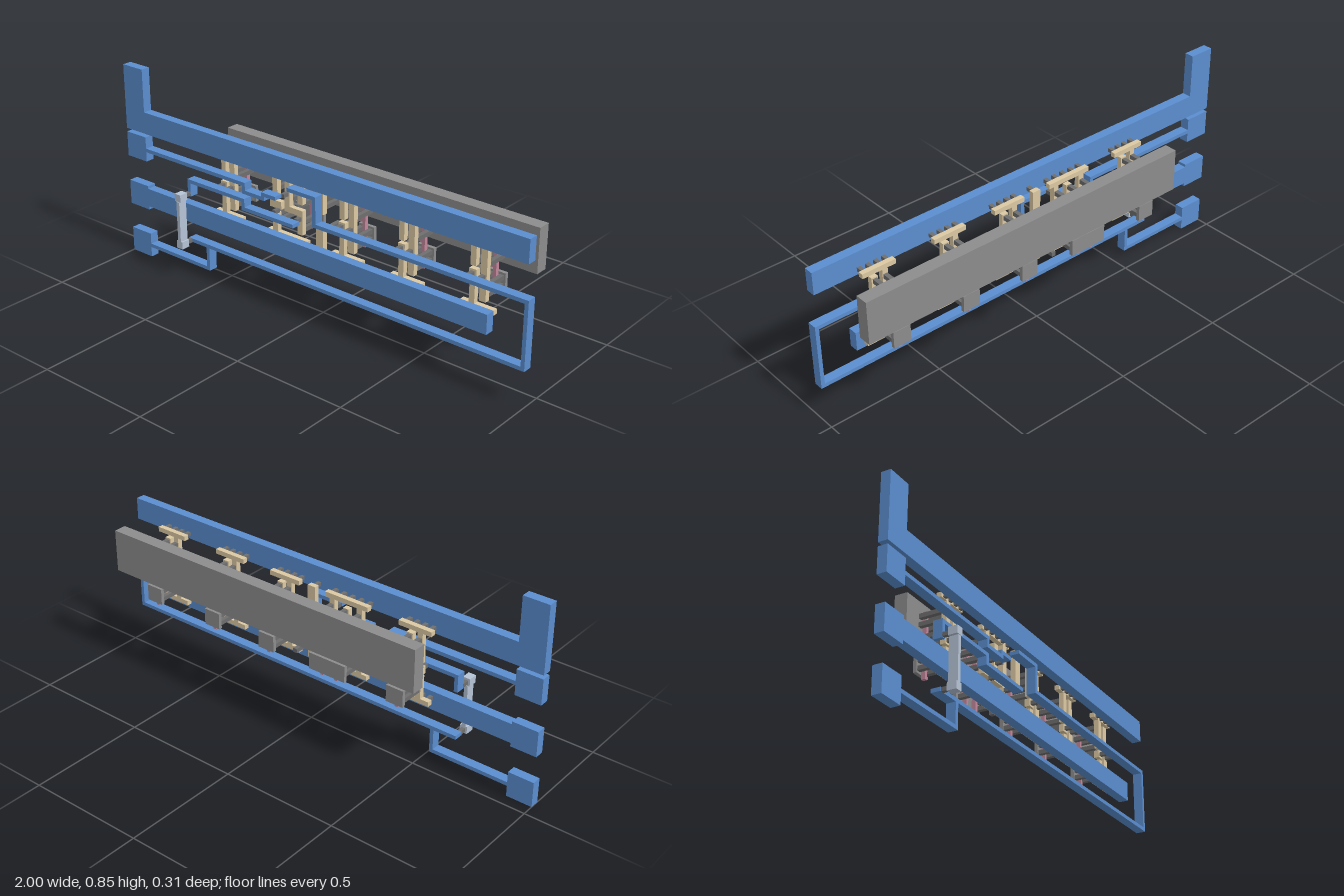
import * as THREE from 'three';

const mat = (color) => new THREE.MeshStandardMaterial({ color });

export function createModel() {
  const root = new THREE.Group();
  const blue = mat(0x5a8dce), tan = mat(0xdcc9a3), pink = mat(0xc2869a);
  const dark = mat(0x6e6e6e), grey = mat(0x8c8c8c), pale = mat(0xb6c3d5);

  // Box given by its limits on each axis
  const slab = (parent, name, m, x0, x1, y0, y1, z0, z1) => {
    const mesh = new THREE.Mesh(new THREE.BoxGeometry(x1 - x0, y1 - y0, z1 - z0), m);
    mesh.position.set((x0 + x1) / 2, (y0 + y1) / 2, (z0 + z1) / 2);
    mesh.name = name;
    parent.add(mesh);
  };

  // Layers, front to back
  const top = (p, n, x0, x1, y0, y1) => slab(p, n, pale, x0, x1, y0, y1, 0.118, 0.157);
  const metal = (p, n, x0, x1, y0, y1) => slab(p, n, blue, x0, x1, y0, y1, 0.05, 0.09);
  const local = (p, n, x0, x1, y0, y1) => slab(p, n, tan, x0, x1, y0, y1, 0, 0.022);
  const gate = (p, n, x0, x1, y0, y1) => slab(p, n, pink, x0, x1, y0, y1, -0.1, -0.083);
  const post = (p, n, x, y, z0, z1, r = 0.009) => slab(p, n, dark, x - r, x + r, y - r, y + r, z0, z1);
  const shortPost = (p, x, y) => post(p, 'shortPost', x, y, 0.022, 0.05, 0.008);
  const longPost = (p, x, y) => post(p, 'longPost', x, y, -0.1, 0);

  // Flat wire following points, with square corners, as one extruded outline
  const wire = (name, pts, w = 0.016) => {
    const h = w / 2;
    const side = (s) => pts.map(([x, y], i) => {
      const a = pts[Math.max(i - 1, 0)], b = pts[Math.min(i + 1, pts.length - 1)];
      const d0 = i ? [Math.sign(x - a[0]), Math.sign(y - a[1])] : null;
      const d1 = i < pts.length - 1 ? [Math.sign(b[0] - x), Math.sign(b[1] - y)] : null;
      const n = [0, 0];
      for (const d of [d0, d1]) if (d) { n[0] -= d[1]; n[1] += d[0]; }
      return new THREE.Vector2(x + s * h * n[0], y + s * h * n[1]);
    });
    const shape = new THREE.Shape([...side(1), ...side(-1).reverse()]);
    const mesh = new THREE.Mesh(new THREE.ExtrudeGeometry(shape, { depth: 0.04, bevelEnabled: false }), blue);
    mesh.position.z = 0.05;
    mesh.name = name;
    root.add(mesh);
  };

  // Rails and end pads
  metal(root, 'upperRail', -1, 0.985, 0.567, 0.662);
  metal(root, 'upperRailLeg', -1, -0.89, 0.662, 0.847);
  metal(root, 'lowerRail', -0.89, 0.83, 0.237, 0.318);
  for (const y of [0, 0.222, 0.443]) metal(root, 'endPad', -1, -0.89, y, y + 0.108);

  // Thin wires
  wire('firstInputWire', [[-0.89, 0.493], [-0.337, 0.493], [-0.337, 0.46], [-0.235, 0.46], [-0.235, 0.478], [-0.17, 0.478]]);
  wire('feedbackWire', [[-0.643, 0.355], [-0.643, 0.422], [-0.342, 0.422], [-0.342, 0.386], [-0.08, 0.386]]);
  wire('loopWire', [[-0.11, 0.535], [0.028, 0.535], [0.028, 0.422], [0.987, 0.422], [0.987, 0.156], [-0.655, 0.156]]);
  wire('outputWire', [[-0.89, 0.053], [-0.547, 0.053], [-0.547, 0.15]]);

  // Raised bridge over the lower rail
  const bridge = new THREE.Group();
  bridge.name = 'bridge';
  top(bridge, 'bridgeBar', -0.652, -0.636, 0.17, 0.35);
  for (const y of [0.155, 0.367]) {
    top(bridge, 'bridgeEnd', -0.66, -0.628, y - 0.015, y + 0.017);
    post(bridge, 'bridgePost', -0.644, y, 0.09, 0.118, 0.008);
  }
  root.add(bridge);

  // Long back block
  slab(root, 'backBlock', grey, -0.597, 0.908, 0.43, 0.612, -0.155, -0.1);

  // Feet of a cell: crossbars on both rails with a row of posts
  const crossbars = (cell, half, count) => {
    for (const y of [0.29, 0.59]) {
      local(cell, 'crossbar', -half, half, y - 0.01, y + 0.01);
      for (let i = 0; i < count; i++) shortPost(cell, (half - 0.02) * (2 * i / (count - 1) - 1), y);
    }
  };

  // Single-gate cells
  for (const x of [-0.485, 0.135, 0.42, 0.74]) {
    const cell = new THREE.Group();
    cell.name = 'singleCell';
    cell.position.x = x;
    crossbars(cell, 0.073, 4);
    local(cell, 'upperSourceBar', -0.036, -0.012, 0.45, 0.58);
    local(cell, 'lowerSourceBar', -0.036, -0.012, 0.3, 0.395);
    local(cell, 'gateTab', -0.04, -0.008, 0.405, 0.437);
    local(cell, 'drainBar', 0.008, 0.036, 0.32, 0.565);
    for (const y of [0.338, 0.372, 0.46, 0.515, 0.55]) for (const s of [-0.024, 0.022]) longPost(cell, s, y);
    longPost(cell, -0.024, 0.421);
    shortPost(cell, -0.024, 0.421);
    shortPost(cell, 0.022, 0.421);
    gate(cell, 'gateStrip', -0.007, 0.007, 0.302, 0.578);
    gate(cell, 'gateFoot', -0.036, -0.007, 0.408, 0.434);
    slab(cell, 'lowerBlock', grey, -0.038, 0.038, 0.32, 0.39, -0.115, -0.1);
    root.add(cell);
  }

  // Double-gate cell
  const pair = new THREE.Group();
  pair.name = 'doubleCell';
  pair.position.x = -0.168;
  crossbars(pair, 0.102, 5);
  local(pair, 'leftSourceBar', -0.076, -0.05, 0.45, 0.58);
  local(pair, 'rightSourceBar', 0.055, 0.08, 0.45, 0.58);
  local(pair, 'lowerSourceBar', -0.076, -0.05, 0.3, 0.38);
  local(pair, 'middleBar', -0.012, 0.014, 0.41, 0.56);
  local(pair, 'outputBar', -0.012, 0.08, 0.4, 0.425);
  local(pair, 'lowerDrainBar', 0.055, 0.08, 0.32, 0.4);
  local(pair, 'leftGateTab', -0.09, -0.03, 0.4, 0.432);
  for (const px of [-0.063, 0.068]) for (const y of [0.338, 0.37, 0.48, 0.515, 0.55]) longPost(pair, px, y);
  for (const y of [0.48, 0.515, 0.55]) longPost(pair, 0.001, y);
  longPost(pair, -0.045, 0.416);
  longPost(pair, 0.03, 0.421);
  for (const [px, y] of [[-0.063, 0.46], [0.001, 0.478], [0.068, 0.535], [-0.045, 0.395], [0.068, 0.39]]) shortPost(pair, px, y);
  for (const gx of [-0.032, 0.035]) {
    gate(pair, 'gateStrip', gx - 0.007, gx + 0.007, 0.302, 0.578);
    gate(pair, 'gateFoot', gx - 0.03, gx - 0.007, 0.408, 0.434);
  }
  slab(pair, 'lowerBlock', grey, -0.085, 0.085, 0.32, 0.39, -0.115, -0.1);
  root.add(pair);

  // Ties from the rails at the centre
  const tie = new THREE.Group();
  tie.name = 'centreTie';
  for (const [y0, y1, yp, yr] of [[0.28, 0.38, 0.36, 0.29], [0.44, 0.6, 0.46, 0.59]]) {
    local(tie, 'tieBar', -0.018, 0.018, y0, y1);
    longPost(tie, 0, yp);
    shortPost(tie, 0, yr);
  }
  root.add(tie);

  return root;
}
